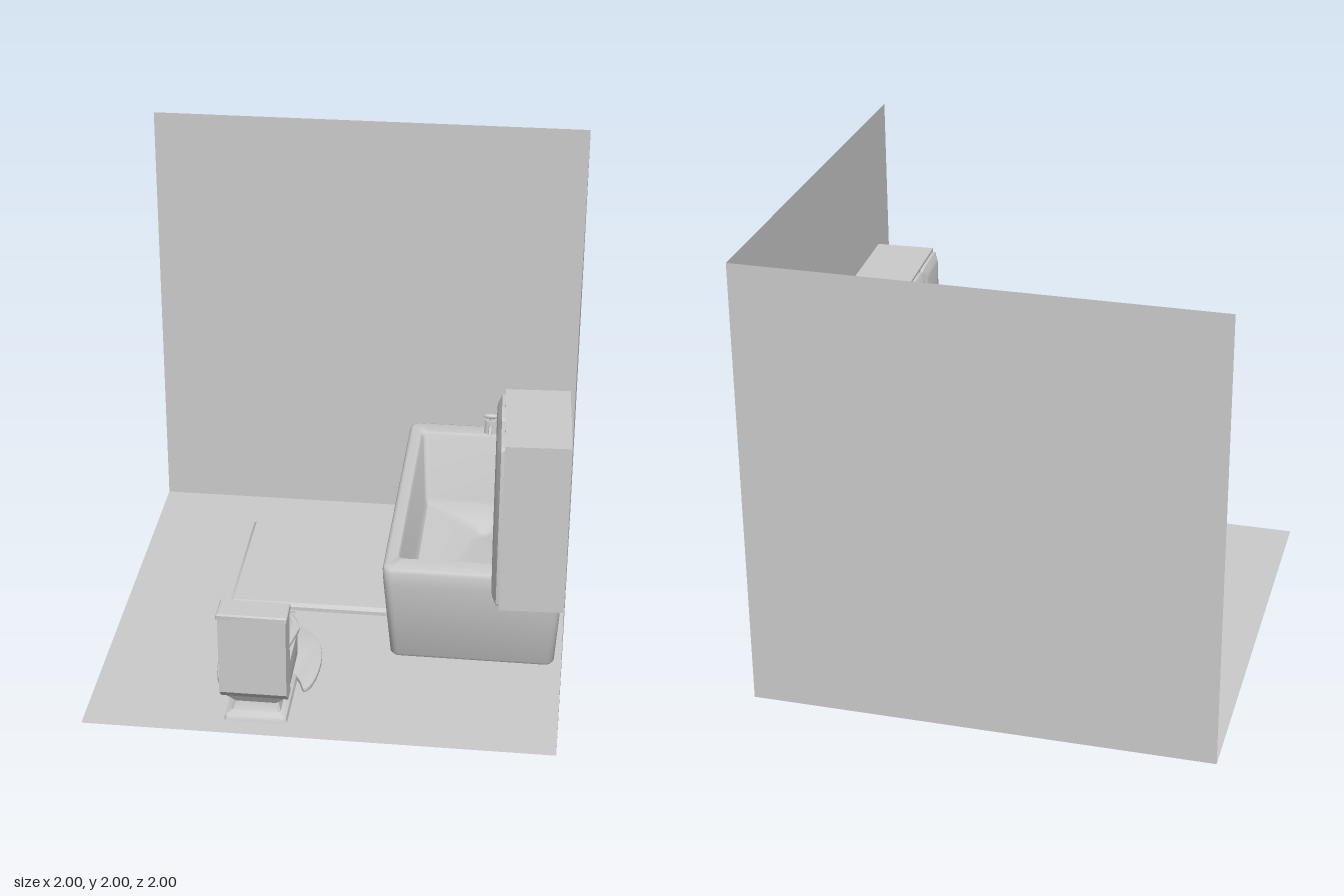
import * as THREE from 'three';
import { toCreasedNormals } from 'three/addons/utils/BufferGeometryUtils.js';

const material = new THREE.MeshStandardMaterial({ color: 0xcccccc });
const thin = new THREE.MeshStandardMaterial({ color: 0xcccccc, side: THREE.DoubleSide });

function add(parent, name, geometry, x = 0, y = 0, z = 0, mat = material) {
  const mesh = new THREE.Mesh(geometry, mat);
  mesh.name = name;
  mesh.position.set(x, y, z);
  parent.add(mesh);
  return mesh;
}

function group(parent, name, x = 0, y = 0, z = 0) {
  const g = new THREE.Group();
  g.name = name;
  g.position.set(x, y, z);
  parent.add(g);
  return g;
}

// Skin over horizontal rings of equal point count, listed from outer bottom to inner top
function loft(rings, { bottom = true, top = true, closed = false, crease = 0.6 } = {}) {
  const n = rings[0].length;
  const pos = rings.flat().flat();
  const index = [];
  const steps = closed ? rings.length : rings.length - 1;
  for (let i = 0; i < steps; i++) {
    const k = (i + 1) % rings.length;
    for (let j = 0; j < n; j++) {
      const m = (j + 1) % n;
      const a = i * n + j, b = i * n + m, c = k * n + j, d = k * n + m;
      index.push(a, c, b, b, c, d);
    }
  }
  const cap = (ring, start, up) => {
    const centre = [0, 1, 2].map((q) => ring.reduce((s, p) => s + p[q], 0) / n);
    const id = pos.length / 3;
    pos.push(...centre);
    for (let j = 0; j < n; j++) {
      const a = start + j, b = start + ((j + 1) % n);
      index.push(id, up ? b : a, up ? a : b);
    }
  };
  if (bottom) cap(rings[0], 0, false);
  if (top) cap(rings[rings.length - 1], (rings.length - 1) * n, true);
  const g = new THREE.BufferGeometry();
  g.setAttribute('position', new THREE.Float32BufferAttribute(pos, 3));
  g.setIndex(index);
  return toCreasedNormals(g, crease);
}

// Rounded rectangle at height y
function rect(y, x0, x1, z0, z1, r, steps = 4) {
  const points = [];
  const corners = [[x1 - r, z1 - r], [x0 + r, z1 - r], [x0 + r, z0 + r], [x1 - r, z0 + r]];
  corners.forEach(([cx, cz], q) => {
    for (let i = 0; i <= steps; i++) {
      const a = (q + i / steps) * Math.PI / 2;
      points.push([cx + r * Math.cos(a), y, cz + r * Math.sin(a)]);
    }
  });
  return points;
}

// Bowl outline: half ellipse towards -z, tapering to a straight back edge
function bowlRing(y, w, front, mid, back, wBack, steps = 20) {
  const points = [[wBack, y, back], [-wBack, y, back]];
  for (let i = 0; i <= steps; i++) {
    const a = Math.PI + (i / steps) * Math.PI;
    points.push([w * Math.cos(a), y, mid + (mid - front) * Math.sin(a)]);
  }
  return points;
}

function buildRoom(root) {
  const floor = add(root, 'floor', new THREE.PlaneGeometry(2, 2), 0, 0, 0, thin);
  floor.rotation.x = -Math.PI / 2;
  add(root, 'backWall', new THREE.PlaneGeometry(2, 2), 0, 1, -1, thin);
  const side = add(root, 'sideWall', new THREE.PlaneGeometry(2, 2), 1, 1, 0, thin);
  side.rotation.y = -Math.PI / 2;
}

function buildTub(root) {
  const tub = group(root, 'bathtub');
  add(tub, 'basin', loft([
    rect(0.015, 0.255, 0.955, -0.94, 0.355, 0.03),
    rect(0.03, 0.245, 0.965, -0.95, 0.365, 0.035),
    rect(0.4, 0.213, 0.988, -0.98, 0.398, 0.04),
    rect(0.46, 0.21, 0.99, -0.985, 0.4, 0.04),
    rect(0.475, 0.215, 0.985, -0.98, 0.395, 0.04),
    rect(0.48, 0.228, 0.972, -0.967, 0.382, 0.035),
    rect(0.48, 0.27, 0.94, -0.89, 0.3, 0.03),
    rect(0.465, 0.28, 0.93, -0.88, 0.29, 0.03),
    rect(0.13, 0.295, 0.915, -0.865, 0.275, 0.03),
    rect(0.1, 0.31, 0.9, -0.85, 0.26, 0.03),
    rect(0.085, 0.54, 0.66, -0.71, -0.54, 0.05),
    rect(0.06, 0.575, 0.625, -0.675, -0.625, 0.024),
  ], { crease: 0.9 }));

  const faucet = group(tub, 'faucet', 0.6, 0.48, -0.91);
  const post = new THREE.CylinderGeometry(0.025, 0.032, 0.065, 16);
  post.scale(1, 1, 0.5);
  add(faucet, 'post', post, 0, 0.0325, 0);
  add(faucet, 'stem', new THREE.CylinderGeometry(0.007, 0.007, 0.04, 12), 0, 0.075, 0);
  const knob = new THREE.SphereGeometry(0.035, 20, 12);
  knob.scale(1, 0.3, 0.4);
  add(faucet, 'knob', knob, 0, 0.09, 0);
  const path = new THREE.CatmullRomCurve3([
    new THREE.Vector3(0, 0.04, 0), new THREE.Vector3(0, 0.05, 0.05), new THREE.Vector3(0, 0.03, 0.085)]);
  add(faucet, 'spout', new THREE.TubeGeometry(path, 10, 0.009, 10), 0, 0, 0, thin);
}

function buildCabinet(root) {
  const cabinet = group(root, 'wallCabinet', 0.857, 0.98, 0.605);
  cabinet.rotation.y = 0.045;
  add(cabinet, 'case', new THREE.BoxGeometry(0.265, 0.755, 0.505));
  // Raised doors with softened edges, lofted flat and then turned to face -x
  for (const s of [-1, 1]) {
    const door = loft([
      rect(0, -0.365, 0.365, -0.121, 0.121, 0.015),
      rect(0.014, -0.365, 0.365, -0.121, 0.121, 0.015),
      rect(0.019, -0.355, 0.355, -0.11, 0.11, 0.015),
      rect(0.029, -0.34, 0.34, -0.096, 0.096, 0.02),
      rect(0.033, -0.325, 0.325, -0.082, 0.082, 0.02),
    ]);
    door.rotateZ(Math.PI / 2);
    add(cabinet, s < 0 ? 'rearDoor' : 'frontDoor', door, -0.1325, 0, s * 0.126);
  }
}

function buildToilet(root) {
  const toilet = group(root, 'toilet', -0.272, 0, 0);
  // Flared foot
  add(toilet, 'foot', loft([
    rect(0, -0.135, 0.135, 0.55, 0.91, 0.01, 1),
    rect(0.02, -0.13, 0.13, 0.555, 0.905, 0.01, 1),
    rect(0.04, -0.105, 0.105, 0.585, 0.885, 0.01, 1),
    rect(0.08, -0.095, 0.095, 0.595, 0.875, 0.01, 1),
    rect(0.12, -0.13, 0.13, 0.55, 0.9, 0.01, 1),
  ], { top: false }));
  // Faceted bowl with an open well
  add(toilet, 'bowl', loft([
    bowlRing(0.12, 0.13, 0.485, 0.61, 0.85, 0.135, 5),
    bowlRing(0.16, 0.142, 0.465, 0.61, 0.85, 0.142, 5),
    bowlRing(0.27, 0.142, 0.465, 0.61, 0.85, 0.142, 5),
    bowlRing(0.27, 0.085, 0.51, 0.59, 0.735, 0.045, 5),
    bowlRing(0.19, 0.065, 0.55, 0.61, 0.735, 0.03, 5),
    bowlRing(0.15, 0.025, 0.685, 0.7, 0.735, 0.025, 5),
  ], { crease: 0.3 }));
  // Seat ring with a raised inner step
  add(toilet, 'seat', loft([
    bowlRing(0.27, 0.15, 0.455, 0.61, 0.77, 0.12),
    bowlRing(0.285, 0.15, 0.455, 0.61, 0.77, 0.12),
    bowlRing(0.291, 0.14, 0.465, 0.61, 0.765, 0.11),
    bowlRing(0.291, 0.12, 0.485, 0.6, 0.76, 0.09),
    bowlRing(0.298, 0.112, 0.492, 0.6, 0.755, 0.08),
    bowlRing(0.298, 0.085, 0.51, 0.59, 0.735, 0.05),
    bowlRing(0.27, 0.085, 0.51, 0.59, 0.735, 0.05),
  ], { bottom: false, top: false, closed: true, crease: 0.4 }));
  add(toilet, 'hingeBar', new THREE.BoxGeometry(0.1, 0.02, 0.04), 0, 0.28, 0.785);
  for (const s of [-1, 1]) {
    add(toilet, 'hinge', new THREE.BoxGeometry(0.015, 0.025, 0.04), s * 0.1, 0.282, 0.775);
  }
  // Cistern: side profile with a cut rear lower corner
  const profile = new THREE.Shape([[0.838, 0.12], [0.9, 0.12], [0.95, 0.17], [0.95, 0.53], [0.838, 0.53]]
    .map(([z, y]) => new THREE.Vector2(-z, y)));
  const tank = new THREE.ExtrudeGeometry(profile, { depth: 0.284, bevelEnabled: false });
  tank.rotateY(Math.PI / 2);
  add(toilet, 'tank', tank, -0.142, 0, 0);
  add(toilet, 'tankLid', loft([
    rect(0.53, -0.147, 0.147, 0.83, 0.957, 0.006, 2),
    rect(0.549, -0.147, 0.147, 0.83, 0.957, 0.006, 2),
    rect(0.555, -0.141, 0.141, 0.836, 0.951, 0.005, 2),
  ]));
  // Flush lever
  const pivot = add(toilet, 'leverPivot', new THREE.CylinderGeometry(0.01, 0.01, 0.025, 12), 0.115, 0.505, 0.828);
  pivot.rotation.x = Math.PI / 2;
  add(toilet, 'lever', new THREE.BoxGeometry(0.06, 0.01, 0.01), 0.135, 0.505, 0.818);
}

function buildRugs(root) {
  add(root, 'bathMat', loft([
    rect(0.002, -0.525, 0.21, -0.715, 0.025, 0.005, 1),
    rect(0.02, -0.525, 0.21, -0.715, 0.025, 0.005, 1),
    rect(0.035, -0.51, 0.195, -0.7, 0.01, 0.005, 1),
  ]));
  // Horseshoe rug, drawn in plan with -z as up
  const shape = new THREE.Shape();
  shape.moveTo(0.175, -0.675);
  shape.bezierCurveTo(0.205, -0.67, 0.225, -0.58, 0.225, -0.46);
  shape.bezierCurveTo(0.225, -0.27, 0.12, -0.165, 0, -0.165);
  shape.bezierCurveTo(-0.12, -0.165, -0.225, -0.27, -0.225, -0.46);
  shape.bezierCurveTo(-0.225, -0.58, -0.205, -0.67, -0.175, -0.675);
  shape.bezierCurveTo(-0.15, -0.65, -0.16, -0.53, 0, -0.53);
  shape.bezierCurveTo(0.16, -0.53, 0.15, -0.65, 0.175, -0.675);
  const rug = new THREE.ExtrudeGeometry(shape, {
    depth: 0.012, bevelThickness: 0.006, bevelSize: 0.006, bevelOffset: -0.006, bevelSegments: 2, curveSegments: 14 });
  rug.rotateX(-Math.PI / 2);
  add(root, 'toiletRug', toCreasedNormals(rug, 0.7), -0.272, 0.008, 0);
}

export function createModel() {
  const root = new THREE.Group();
  root.name = 'bathroom';
  buildRoom(root);
  buildTub(root);
  buildCabinet(root);
  buildToilet(root);
  buildRugs(root);
  return root;
}
